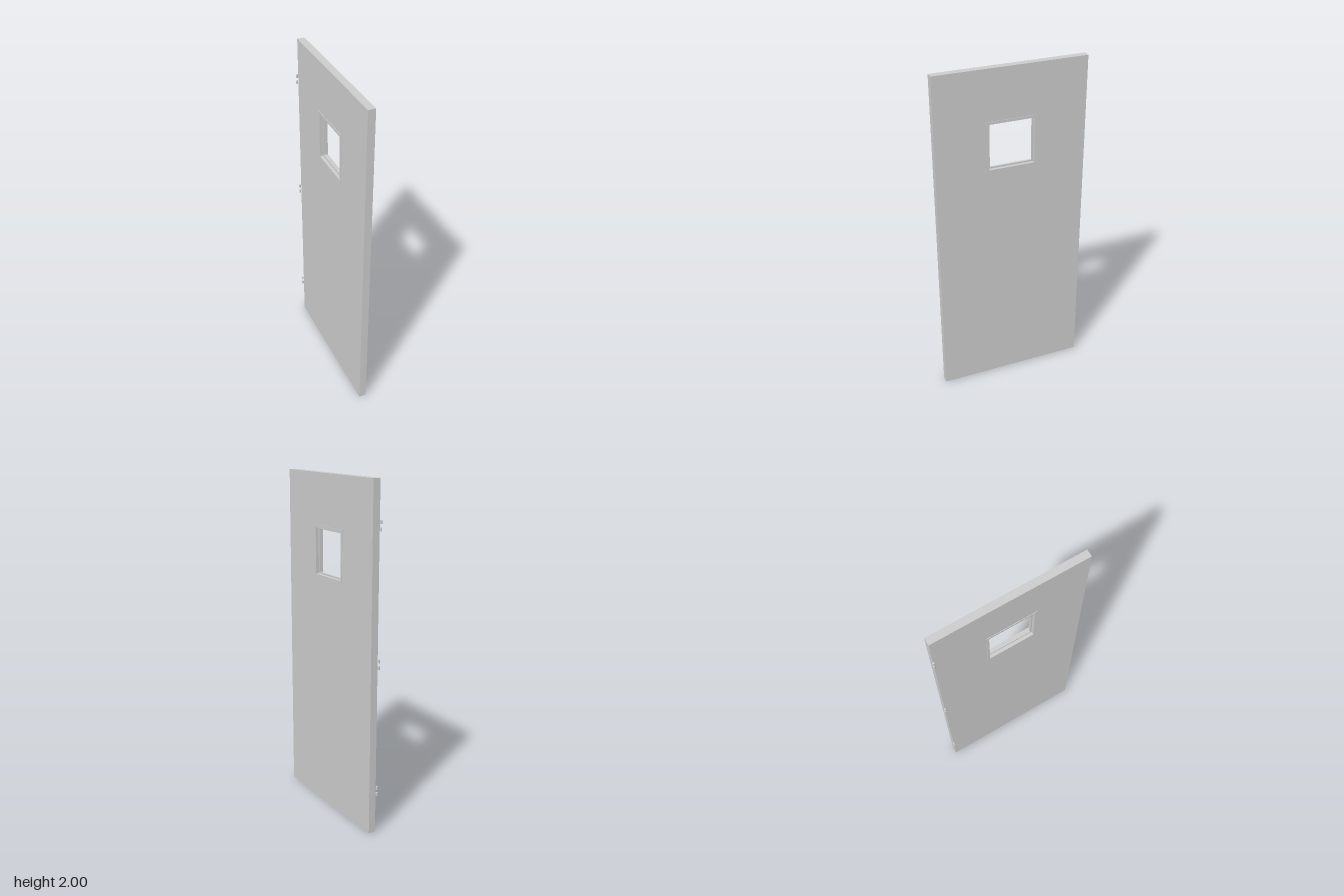
import * as THREE from 'three';

const material = new THREE.MeshStandardMaterial({ color: 0xcccccc });

// Rectangle corners in the door plane (z, y)
const corners = (z0, z1, y0, y1) => [[z0, y0], [z1, y0], [z1, y1], [z0, y1]].map(([z, y]) => new THREE.Vector2(z, y));

// Rectangular panel with a rectangular hole, spanning x0..x1 in thickness
function panel(name, outer, hole, x0, x1) {
  const shape = new THREE.Shape(corners(...outer));
  shape.holes.push(new THREE.Path(corners(...hole)));
  const geometry = new THREE.ExtrudeGeometry(shape, { depth: x1 - x0, bevelEnabled: false });
  geometry.rotateY(-Math.PI / 2);
  geometry.translate(x1, 0, 0);
  const mesh = new THREE.Mesh(geometry, material);
  mesh.name = name;
  return mesh;
}

// Square of a given size centred on the window
const WINDOW_Z = 0.003, WINDOW_Y = 1.553;
const square = (size) => [WINDOW_Z - size / 2, WINDOW_Z + size / 2, WINDOW_Y - size / 2, WINDOW_Y + size / 2];

export function createModel() {
  const door = new THREE.Group();
  door.name = 'door';

  // Slab, window frame standing slightly proud of both faces, and its inner glazing stop
  door.add(panel('doorSlab', [-0.444, 0.45, 0, 2], square(0.3), -0.0165, 0.0265));
  door.add(panel('windowFrame', square(0.3), square(0.27), -0.0195, 0.0295));
  door.add(panel('glazingStop', square(0.272), square(0.252), 0, 0.01));

  // Three hinges, each a pair of knuckles on the back edge
  const knuckleGeometry = new THREE.CylinderGeometry(0.006, 0.006, 0.02, 16);
  for (const y of [0.2545, 1.005, 1.756]) {
    const hinge = new THREE.Group();
    hinge.name = 'hinge';
    hinge.position.set(-0.024, y, -0.445);
    for (const side of [-1, 1]) {
      const knuckle = new THREE.Mesh(knuckleGeometry, material);
      knuckle.name = 'hingeKnuckle';
      knuckle.position.y = side * 0.019;
      hinge.add(knuckle);
    }
    door.add(hinge);
  }
  return door;
}
